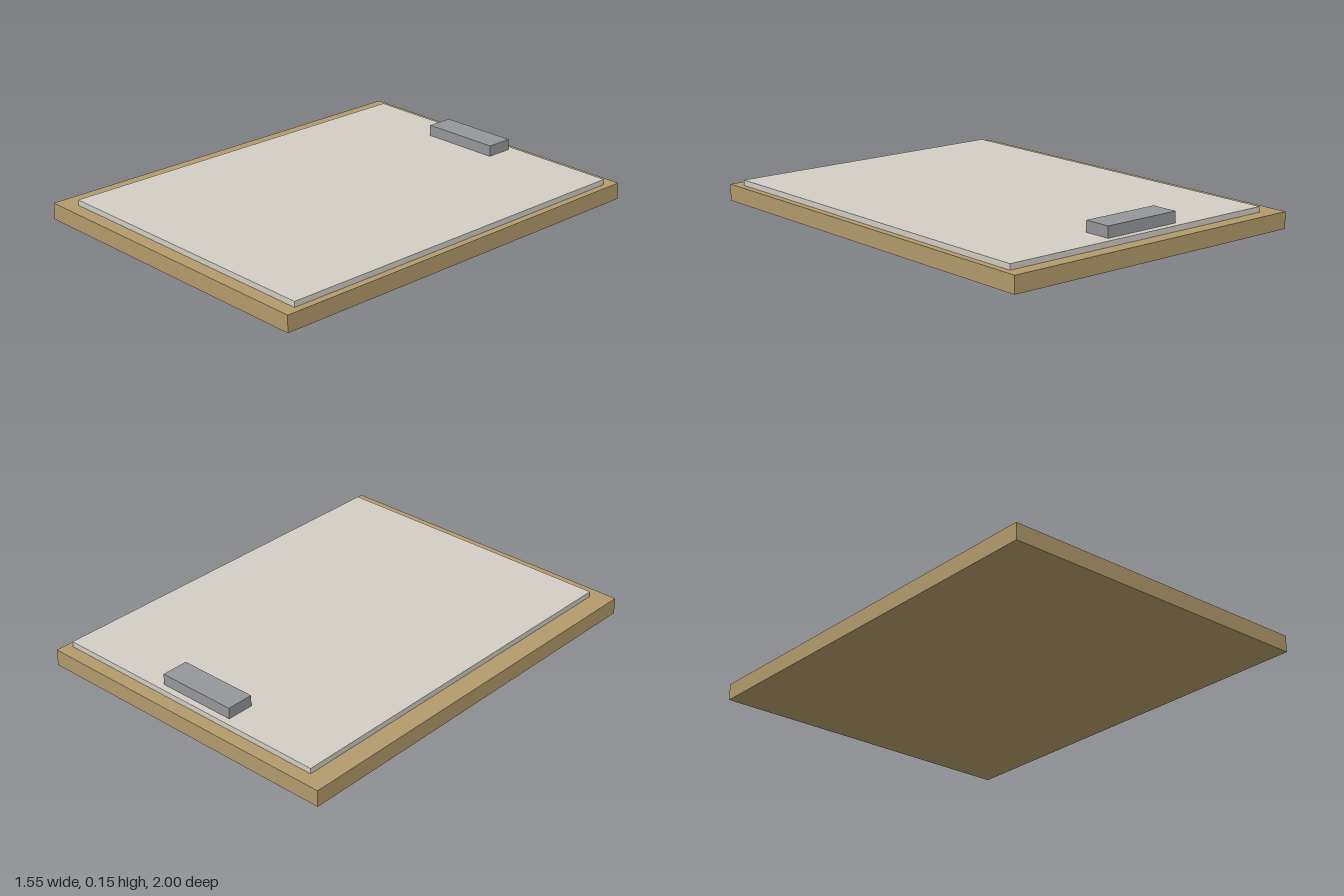
import * as THREE from 'three';

// Adds a named box resting on height y, centred on (x, z)
function addSlab(group, name, color, [w, h, d], [x, y, z]) {
  const material = new THREE.MeshStandardMaterial({ color });
  const mesh = new THREE.Mesh(new THREE.BoxGeometry(w, h, d), material);
  mesh.name = name;
  mesh.position.set(x, y + h / 2, z);
  group.add(mesh);
}

export function createModel() {
  const group = new THREE.Group();
  group.name = 'clipboard';

  const boardHeight = 0.0774;
  const paperHeight = 0.0258;

  // Wooden backing board
  addSlab(group, 'board', 0xb39b6b, [1.548, boardHeight, 2], [0, 0, 0]);
  // Stack of paper, set slightly to the left
  addSlab(group, 'paper', 0xd2cec6, [1.419, paperHeight, 1.871], [0.032, boardHeight, 0]);
  // Metal clip at the back edge, lying on the paper
  addSlab(group, 'clip', 0x96979b, [0.387, 0.0516, 0.129], [0, boardHeight + paperHeight, -0.839]);

  return group;
}
